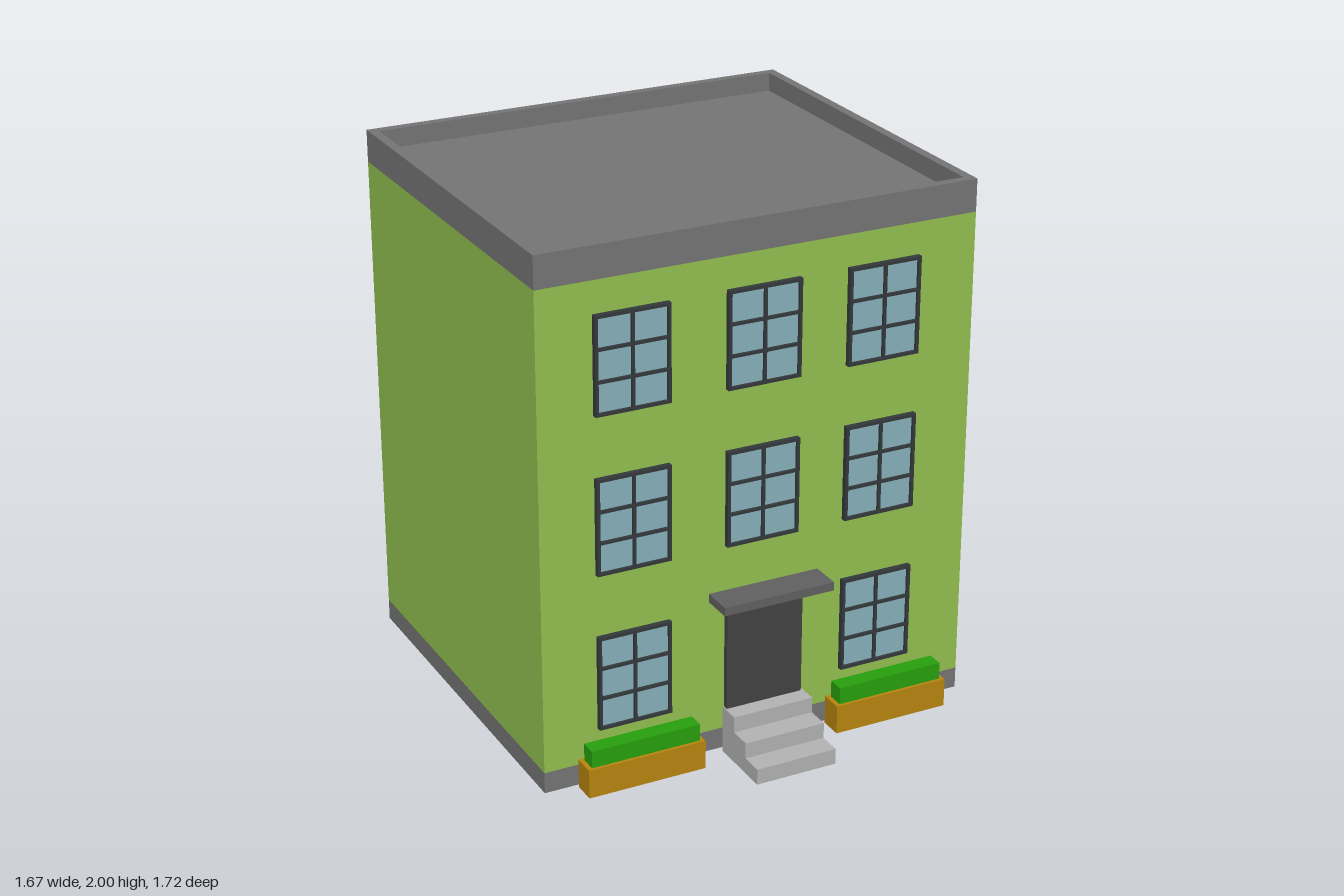
import * as THREE from 'three';

const mat = (color) => new THREE.MeshStandardMaterial({ color, flatShading: true });
const M = {
  wall: mat(0x92c050), trim: mat(0x757575), frame: mat(0x34393b), glass: mat(0x87b0bb),
  door: mat(0x434343), canopy: mat(0x616161), step: mat(0xb3b3b3),
  planter: mat(0xb8860f), hedge: mat(0x28a00e),
};

// Box given by its limits on each axis
function box(name, material, [x0, x1], [y0, y1], [z0, z1]) {
  const mesh = new THREE.Mesh(new THREE.BoxGeometry(x1 - x0, y1 - y0, z1 - z0), material);
  mesh.position.set((x0 + x1) / 2, (y0 + y1) / 2, (z0 + z1) / 2);
  mesh.name = name;
  return mesh;
}

function rectPath(path, x0, x1, y0, y1) {
  path.moveTo(x0, y0);
  path.lineTo(x1, y0);
  path.lineTo(x1, y1);
  path.lineTo(x0, y1);
  path.closePath();
  return path;
}

// Six-pane window: one extruded frame with a hole per pane, and glass behind
function makeWindow(cx, cy) {
  const w = 0.28, h = 0.36, border = 0.012, bar = 0.011, cols = 2, rows = 3;
  const paneW = (w - 2 * border - (cols - 1) * bar) / cols;
  const paneH = (h - 2 * border - (rows - 1) * bar) / rows;
  const shape = rectPath(new THREE.Shape(), -w / 2, w / 2, -h / 2, h / 2);
  for (let c = 0; c < cols; c++) {
    for (let r = 0; r < rows; r++) {
      const x = -w / 2 + border + c * (paneW + bar);
      const y = -h / 2 + border + r * (paneH + bar);
      shape.holes.push(rectPath(new THREE.Path(), x, x + paneW, y, y + paneH));
    }
  }
  const frame = new THREE.Mesh(new THREE.ExtrudeGeometry(shape, { depth: 0.02, bevelEnabled: false }), M.frame);
  frame.name = 'windowFrame';
  const glass = box('windowGlass', M.glass, [-w / 2 + 0.005, w / 2 - 0.005], [-h / 2 + 0.005, h / 2 - 0.005], [0.001, 0.01]);
  const group = new THREE.Group();
  group.name = 'window';
  group.add(frame, glass);
  group.position.set(cx, cy, 0.6);
  return group;
}

// Planter box with a clipped hedge
function makePlanter(x0, x1) {
  const group = new THREE.Group();
  group.name = 'planter';
  group.add(
    box('planterBox', M.planter, [x0, x1], [0.005, 0.115], [0.6, 0.687]),
    box('hedge', M.hedge, [x0 + 0.017, x1 - 0.017], [0.1, 0.18], [0.612, 0.675]),
  );
  return group;
}

export function createModel() {
  const model = new THREE.Group();
  model.name = 'townHouse';
  const X = [-0.835, 0.835], Z = [-0.86, 0.6];

  // Base, walls and roof deck
  model.add(
    box('base', M.trim, X, [0.015, 0.095], Z),
    box('walls', M.wall, X, [0.095, 1.88], Z),
    box('roofDeck', M.trim, [-0.81, 0.81], [1.88, 1.93], [-0.84, 0.58]),
  );

  // Parapet ring around the roof
  const ring = rectPath(new THREE.Shape(), X[0], X[1], -Z[1], -Z[0]);
  const t = 0.035;
  ring.holes.push(rectPath(new THREE.Path(), X[0] + t, X[1] - t, -Z[1] + t, -Z[0] - t));
  const parapet = new THREE.Mesh(new THREE.ExtrudeGeometry(ring, { depth: 0.12, bevelEnabled: false }), M.trim);
  parapet.rotation.x = -Math.PI / 2;
  parapet.position.y = 1.88;
  parapet.name = 'parapet';
  model.add(parapet);

  // Windows: three per upper floor, two beside the door
  [0.4, 0.995, 1.582].forEach((y, floor) => {
    for (const x of [-0.49, 0.005, 0.47]) {
      if (floor === 0 && x === 0.005) continue;
      model.add(makeWindow(x, y));
    }
  });

  // Door and canopy
  model.add(
    box('door', M.door, [-0.135, 0.165], [0.17, 0.612], [0.6, 0.622]),
    box('canopy', M.canopy, [-0.197, 0.235], [0.61, 0.642], [0.6, 0.72]),
  );

  // Stair as one stepped profile extruded sideways
  const stair = new THREE.Shape();
  stair.moveTo(0.6, 0);
  for (let i = 0; i < 3; i++) {
    const z = 0.862 - i * 0.087;
    stair.lineTo(z, i * 0.06);
    stair.lineTo(z, (i + 1) * 0.06);
  }
  stair.lineTo(0.6, 0.18);
  const steps = new THREE.Mesh(new THREE.ExtrudeGeometry(stair, { depth: 0.315, bevelEnabled: false }), M.step);
  steps.rotation.y = -Math.PI / 2;
  steps.position.x = 0.175;
  steps.name = 'steps';
  model.add(steps);

  model.add(makePlanter(-0.705, -0.252), makePlanter(0.28, 0.733));
  return model;
}
